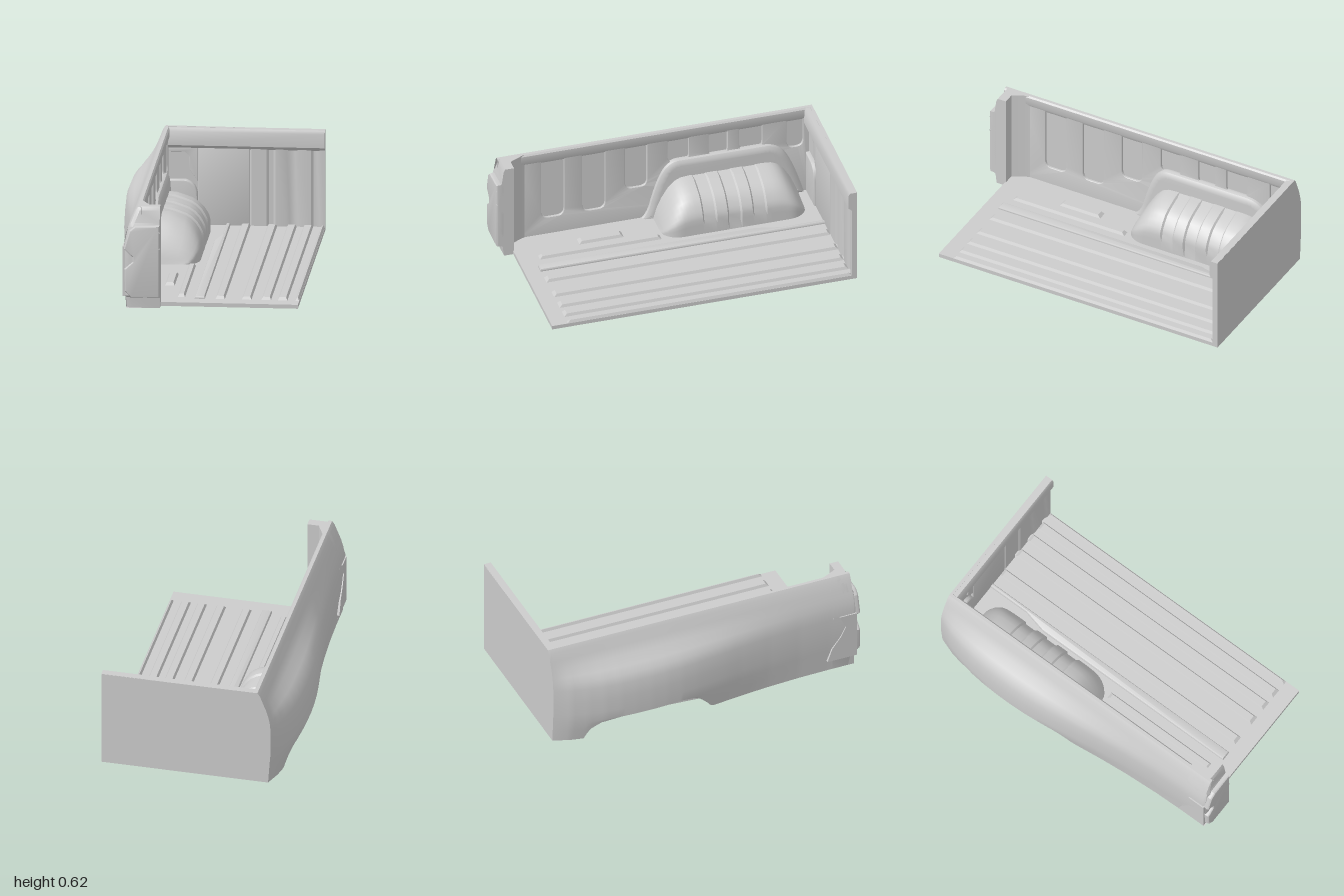
import * as THREE from 'three';
import { toCreasedNormals } from 'three/addons/utils/BufferGeometryUtils.js';

const mat = new THREE.MeshStandardMaterial({ color: 0xcccccc, side: THREE.DoubleSide });
const lerp = THREE.MathUtils.lerp;

// Piecewise-linear lookup in a list of [key, value]
function table(list, k) {
  if (k <= list[0][0]) return list[0][1];
  for (let i = 1; i < list.length; i++) {
    const [a, va] = list[i - 1], [b, vb] = list[i];
    if (k <= b) return lerp(va, vb, (k - a) / (b - a));
  }
  return list[list.length - 1][1];
}

// Skin over rows of [x, y, z] points
function skin(rows, crease = 0.6) {
  const n = rows[0].length, index = [];
  for (let i = 0; i < rows.length - 1; i++)
    for (let j = 0; j < n - 1; j++) {
      const a = i * n + j, b = a + n;
      index.push(a, a + 1, b, b, a + 1, b + 1);
    }
  const g = new THREE.BufferGeometry();
  g.setAttribute('position', new THREE.Float32BufferAttribute(rows.flat(2), 3));
  g.setIndex(index);
  return toCreasedNormals(g, crease);
}

const poly = pts => new THREE.Shape(pts.map(p => new THREE.Vector2(p[0], p[1])));
// Side-view shapes are given as [z, y] and stored as (-z, y)
const sidePoly = pts => poly(pts.map(([z, y]) => [-z, y]));

function solid(shape, from, to, axis, bevel = 0, bevelSize = bevel) {
  const g = new THREE.ExtrudeGeometry(shape, {
    depth: to - from - bevel, bevelEnabled: bevel > 0, bevelThickness: bevel,
    bevelSize, bevelOffset: -bevelSize, bevelSegments: 3, curveSegments: 10,
  });
  g.translate(0, 0, from);
  if (axis === 'x') g.rotateY(Math.PI / 2);
  if (axis === 'y') g.rotateX(-Math.PI / 2);
  return toCreasedNormals(g, 0.5);
}

// Slot with a round lower end
function uSlot(a, b, bottom, top, r = 0.05) {
  const p = new THREE.Path();
  p.moveTo(a, top).lineTo(a, bottom + r).quadraticCurveTo(a, bottom, a + r, bottom)
    .lineTo(b - r, bottom).quadraticCurveTo(b, bottom, b, bottom + r).lineTo(b, top).closePath();
  return p;
}

// Outer body outline: [slim x, bulged x, y], top to bottom
const bodyLine = [
  [-0.385, -0.385, 0.622], [-0.4, -0.4, 0.6], [-0.42, -0.42, 0.55], [-0.44, -0.455, 0.5], [-0.453, -0.505, 0.455],
  [-0.46, -0.54, 0.42], [-0.465, -0.56, 0.37], [-0.466, -0.57, 0.28], [-0.465, -0.575, 0.2], [-0.46, -0.574, 0.14],
];
const bulge = [[-1, 0], [-0.9, 0.42], [-0.8, 0.67], [-0.7, 0.85], [-0.6, 0.95], [-0.5, 0.99], [-0.4, 1], [-0.3, 0.97],
  [-0.2, 0.9], [-0.1, 0.79], [0, 0.66], [0.1, 0.53], [0.2, 0.39], [0.3, 0.28], [0.4, 0.18], [0.6, 0.05], [0.8, 0], [1, 0]];
const archLip = [[-0.82, 0], [-0.79, 0.07], [-0.72, 0.12], [-0.6, 0.14], [-0.2, 0.14], [-0.1, 0.12], [-0.05, 0.08], [0.01, 0]];

function bodySection(z) {
  const t = table(bulge, z), lip = table(archLip, z);
  const row = [[-0.372, 0.54, z], [-0.358, 0.565, z], [-0.358, 0.612, z], [-0.366, 0.622, z]];
  for (const [a, b, y] of bodyLine) row.push([lerp(a, b, t), y, z]);
  for (const f of [0.5, 1]) {
    const y = lerp(0.14, lip, f);
    row.push([lerp(lerp(-0.45, -0.535, t), lerp(-0.46, -0.574, t), y / 0.14), y, z]);
  }
  row.push([-0.36, 0.001, z]);
  return row;
}

// Wheel housing skin: columns along z, each running from the wall to the floor
function wheelHousing() {
  const profile = [[0, 1], [0.25, 0.98], [0.42, 0.93], [0.62, 0.86], [0.75, 0.78], [0.86, 0.67], [0.94, 0.55], [0.98, 0.47], [1, 0.38], [1, 0.24], [1, 0]];
  const height = [[0, 0], [0.02, 0.08], [0.05, 0.155], [0.09, 0.225], [0.13, 0.27], [0.17, 0.29], [0.22, 0.295]];
  const grooves = [[-0.33, -0.24, 0.15], [-0.485, -0.395, 0.07], [-0.64, -0.55, 0.15]];
  const zs = [0, 0.01, 0.02, 0.035, 0.05, 0.07, 0.09, 0.11, 0.13, 0.15, 0.17, 0.2, 0.22].flatMap(d => [-d, d - 0.9]);
  for (const [a, b] of grooves) zs.push(a, a + 0.01, b - 0.01, b);
  zs.sort((a, b) => a - b);
  return skin(zs.map(z => {
    const d = Math.max(0, Math.min(-z, z + 0.9)), H = table(height, d);
    const k = Math.max(0, (0.12 - d) / 0.12), R = 0.26 - 0.1 * (1 - Math.sqrt(1 - k * k));
    const groove = grooves.find(([a, b]) => z > a + 0.005 && z < b - 0.005);
    return profile.map(([p, q]) => {
      const cut = groove && q * H > groove[2] - 0.04 && p > 0.1 ? 0.01 : 0;
      return [-0.36 + R * p - cut * p, 0.02 + (H - 0.02 * (H / 0.295)) * q - cut * q, z];
    });
  }), 0.5);
}

export function createModel() {
  const model = new THREE.Group();
  const add = (name, geometry) => {
    const m = new THREE.Mesh(geometry, mat);
    m.name = name;
    model.add(m);
    return m;
  };

  // Floor and its raised ribs
  add('floor', new THREE.BoxGeometry(0.95, 0.024, 1.89)).position.set(0.095, 0.012, -0.05);
  const ribs = [[0.068, 0.126, -0.97, 0.8], [0.225, 0.285, -0.97, 0.8], [0.342, 0.402, -0.97, 0.8], [0.44, 0.5, -0.97, 0.8],
    [0.545, 0.57, -0.97, 0.8], [-0.16, -0.115, 0.01, 0.77], [-0.26, -0.2, 0.22, 0.5]];
  for (const [x0, x1, z0, z1] of ribs) {
    const g = new THREE.BoxGeometry(x1 - x0, 0.018, z1 - z0).toNonIndexed(), p = g.attributes.position;
    for (let i = 0; i < p.count; i++)
      if (p.getY(i) > 0) {
        p.setX(i, p.getX(i) - Math.sign(p.getX(i)) * 0.01);
        p.setZ(i, p.getZ(i) - Math.sign(p.getZ(i)) * 0.02);
      }
    g.computeVertexNormals();
    add('floorRib', g).position.set((x0 + x1) / 2, 0.031, (z0 + z1) / 2);
  }
  add('joggedFloorRib', solid(poly([[-0.02, 0.97], [0.005, 0.97], [0.005, -0.8], [-0.055, -0.8], [-0.055, 0.55], [-0.02, 0.7]]),
    0.022, 0.04, 'y', 0.012, 0.009));

  // Outer fender with top rail
  const rows = [];
  for (let i = 0; i <= 98; i++) rows.push(bodySection(-1 + i * 0.02));
  add('fender', skin(rows, 0.55));

  // Inner side wall with recessed slots
  const wall = sidePoly([[0.84, 0.01], [-0.98, 0.01], [-0.98, 0.56], [0.84, 0.56]]);
  const slots = [[0.685, 0.545, 0.14], [0.43, 0.29, 0.14], [0.165, 0.03, 0.25], [-0.1, -0.23, 0.385], [-0.355, -0.47, 0.385],
    [-0.545, -0.685, 0.385], [-0.84, -0.94, 0.35]];
  for (const [a, b, bottom] of slots) wall.holes.push(uSlot(-a, -b, bottom, 0.545, 0.045));
  add('sideWall', solid(wall, -0.385, -0.367, 'x', 0.006));
  add('slotBacking', new THREE.BoxGeometry(0.004, 0.55, 1.82)).position.set(-0.384, 0.285, -0.07);

  // Arch surround and wheel housing
  const arch = new THREE.Shape();
  arch.moveTo(-0.07, 0.02).quadraticCurveTo(-0.03, 0.05, -0.01, 0.14).quadraticCurveTo(0.04, 0.33, 0.09, 0.375)
    .quadraticCurveTo(0.12, 0.405, 0.17, 0.405).lineTo(0.69, 0.405).quadraticCurveTo(0.77, 0.405, 0.82, 0.34)
    .quadraticCurveTo(0.88, 0.25, 0.945, 0.02);
  add('archSurround', solid(arch, -0.38, -0.338, 'x', 0.03, 0.04));
  add('wheelHousing', wheelHousing());

  // Front panel of the bed, following the body outline
  const plate = [[0.57, 0], [0.57, 0.618], ...bodyLine.map(([x, , y]) => [x, y]), [-0.45, 0]];
  add('bulkhead', solid(poly(plate), -1, -0.982, 'z'));
  add('bulkheadRail', solid(sidePoly([[-0.999, 0.49], [-0.972, 0.49], [-0.945, 0.515], [-0.945, 0.6], [-0.955, 0.62], [-0.999, 0.62]]),
    -0.385, 0.57, 'x'));
  const ridges = [[0.11, -0.982], [0.13, -0.966], [0.22, -0.966], [0.235, -0.976], [0.26, -0.976], [0.275, -0.966], [0.34, -0.966],
    [0.36, -0.976], [0.39, -0.976], [0.41, -0.966], [0.485, -0.966], [0.5, -0.976], [0.52, -0.976], [0.54, -0.966], [0.57, -0.966], [0.57, -0.982]];
  add('bulkheadRidges', solid(poly(ridges.map(([x, z]) => [x, -z])), 0.02, 0.5, 'y'));

  // Raised bulkhead face with a single slot and a two-fingered recess
  const face = poly([[-0.19, 0.02], [0.12, 0.02], [0.12, 0.5], [-0.19, 0.5]]);
  const single = new THREE.Path();
  single.moveTo(-0.145, 0.022).lineTo(-0.108, 0.022).lineTo(-0.108, 0.425).absarc(-0.1265, 0.425, 0.0185, 0, Math.PI).closePath();
  const fingers = new THREE.Path();
  fingers.moveTo(-0.086, 0.022).lineTo(0.09, 0.022).lineTo(0.09, 0.41).absarc(0.06, 0.41, 0.03, 0, Math.PI)
    .lineTo(0.03, 0.24).absarc(0.002, 0.24, 0.028, 0, -Math.PI, true)
    .lineTo(-0.026, 0.41).absarc(-0.056, 0.41, 0.03, 0, Math.PI).closePath();
  face.holes.push(single, fingers);
  add('bulkheadFace', solid(face, -0.983, -0.966, 'z', 0.006, 0.004));
  add('bulkheadPad', solid(poly([[-0.05, 0.065], [0.055, 0.065], [0.065, 0.075], [0.065, 0.11], [0.048, 0.13], [0.065, 0.15], [0.065, 0.185],
    [0.055, 0.195], [-0.05, 0.195], [-0.06, 0.185], [-0.06, 0.15], [-0.043, 0.13], [-0.06, 0.11], [-0.06, 0.075]]), -0.983, -0.974, 'z', 0.004));
  const corner = new THREE.Shape();
  corner.moveTo(-0.37, 0.3).lineTo(-0.26, 0.3).quadraticCurveTo(-0.19, 0.28, -0.19, 0.2).lineTo(-0.19, 0.02).lineTo(-0.37, 0.02);
  add('bulkheadCorner', solid(corner, -0.983, -0.955, 'z', 0.012));
  add('bulkheadUpperStep', solid(poly([[-0.37, 0.47], [-0.27, 0.47], [-0.24, 0.44], [-0.24, 0.36], [-0.19, 0.29], [-0.19, 0.5], [-0.37, 0.5]]),
    -0.983, -0.966, 'z', 0.005));

  // Rear pillar, stacked from horizontal sections [y, outer x, rear z]
  const levels = [[0, -0.45, 0.952], [0.065, -0.456, 0.96], [0.08, -0.46, 0.98], [0.25, -0.465, 0.982], [0.38, -0.465, 0.98],
    [0.5, -0.44, 0.975], [0.525, -0.43, 0.965], [0.6, -0.4, 0.955], [0.622, -0.385, 0.945]];
  const ring = ([y, x, z]) => [[-0.25, z], [-0.25, 0.89], [-0.32, 0.89], [-0.36, 0.81], [-0.37, 0.78], [x, 0.82], [x, z - 0.03],
    [x + 0.008, z - 0.009], [x + 0.03, z], [-0.25, z]].map(([a, c]) => [a, y, c]);
  const rings = levels.map(ring);
  const flat = y => rings[0].map(() => [-0.34, y, 0.91]);
  add('rearPillar', skin([flat(0), ...rings, flat(0.622)], 0.4));

  // Tail lamp on the rear face and round the side
  add('tailLamp', solid(poly([[-0.25, 0.515], [-0.395, 0.51], [-0.43, 0.48], [-0.462, 0.37], [-0.41, 0.32], [-0.41, 0.29], [-0.46, 0.245],
    [-0.455, 0.11], [-0.42, 0.072], [-0.25, 0.072]]), 0.955, 1, 'z', 0.012, 0.01));
  const lens = new THREE.CurvePath();
  const pts = [[-0.25, 0.472], [-0.37, 0.472], [-0.385, 0.46], [-0.405, 0.385], [-0.395, 0.373], [-0.25, 0.373]]
    .map(([x, y]) => new THREE.Vector3(x, y, 1));
  for (let i = 1; i < pts.length; i++) lens.add(new THREE.LineCurve3(pts[i - 1], pts[i]));
  add('lampLensEdge', new THREE.TubeGeometry(lens, 40, 0.004, 6)).position.z = -0.004;
  add('sideLamp', solid(sidePoly([[0.78, 0.075], [0.97, 0.075], [0.97, 0.38], [0.86, 0.38], [0.9, 0.3], [0.87, 0.24], [0.81, 0.16]]),
    -0.472, -0.455, 'x'));
  return model;
}
